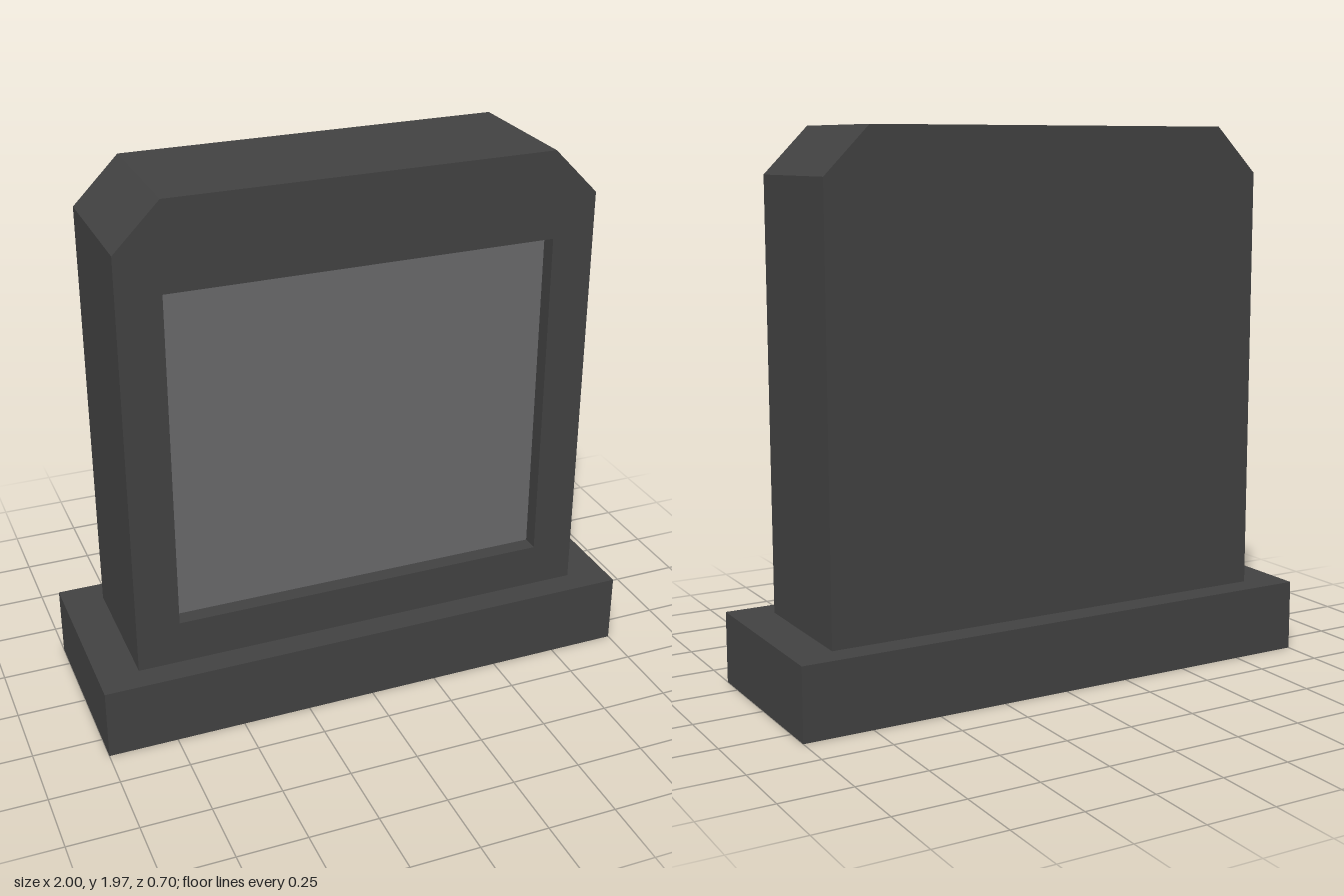
import * as THREE from 'three';

export function createModel() {
  const model = new THREE.Group();
  const stone = new THREE.MeshStandardMaterial({ color: 0x424242 });
  stone.name = 'dark stone';
  const plaque = new THREE.MeshStandardMaterial({ color: 0x69696b });
  plaque.name = 'grey plaque';

  const add = (name, geometry, material, y, z) => {
    const mesh = new THREE.Mesh(geometry, material);
    mesh.name = name;
    mesh.position.set(0, y, z);
    model.add(mesh);
  };

  const halfDepth = 0.255, recess = 0.065;
  const bottom = 0.26, top = 1.97, shoulder = 1.805;
  const w = 0.853, topW = 0.69;
  const panelW = 0.697, panelBottom = 0.42, panelTop = 1.655;

  // Slab outline with chamfered top corners
  const outline = () => new THREE.Shape([
    [-w, bottom], [w, bottom], [w, shoulder], [topW, top], [-topW, top], [-w, shoulder],
  ].map(([x, y]) => new THREE.Vector2(x, y)));

  // Full slab as one extrusion, pierced by the recess opening
  const pierced = outline();
  pierced.holes.push(new THREE.Path([
    [-panelW, panelBottom], [-panelW, panelTop], [panelW, panelTop], [panelW, panelBottom],
  ].map(([x, y]) => new THREE.Vector2(x, y))));
  add('slabFrame', new THREE.ExtrudeGeometry(pierced, { depth: recess, bevelEnabled: false }),
    stone, 0, halfDepth - recess);
  add('slabBody', new THREE.ExtrudeGeometry(outline(), { depth: 2 * halfDepth - recess, bevelEnabled: false }),
    stone, 0, -halfDepth);

  // Recessed plaque face
  add('plaque', new THREE.BoxGeometry(2 * panelW, panelTop - panelBottom, 0.004),
    plaque, (panelTop + panelBottom) / 2, halfDepth - recess + 0.002);

  // Plinth
  add('plinth', new THREE.BoxGeometry(2, bottom, 0.7), stone, bottom / 2, 0);

  return model;
}
